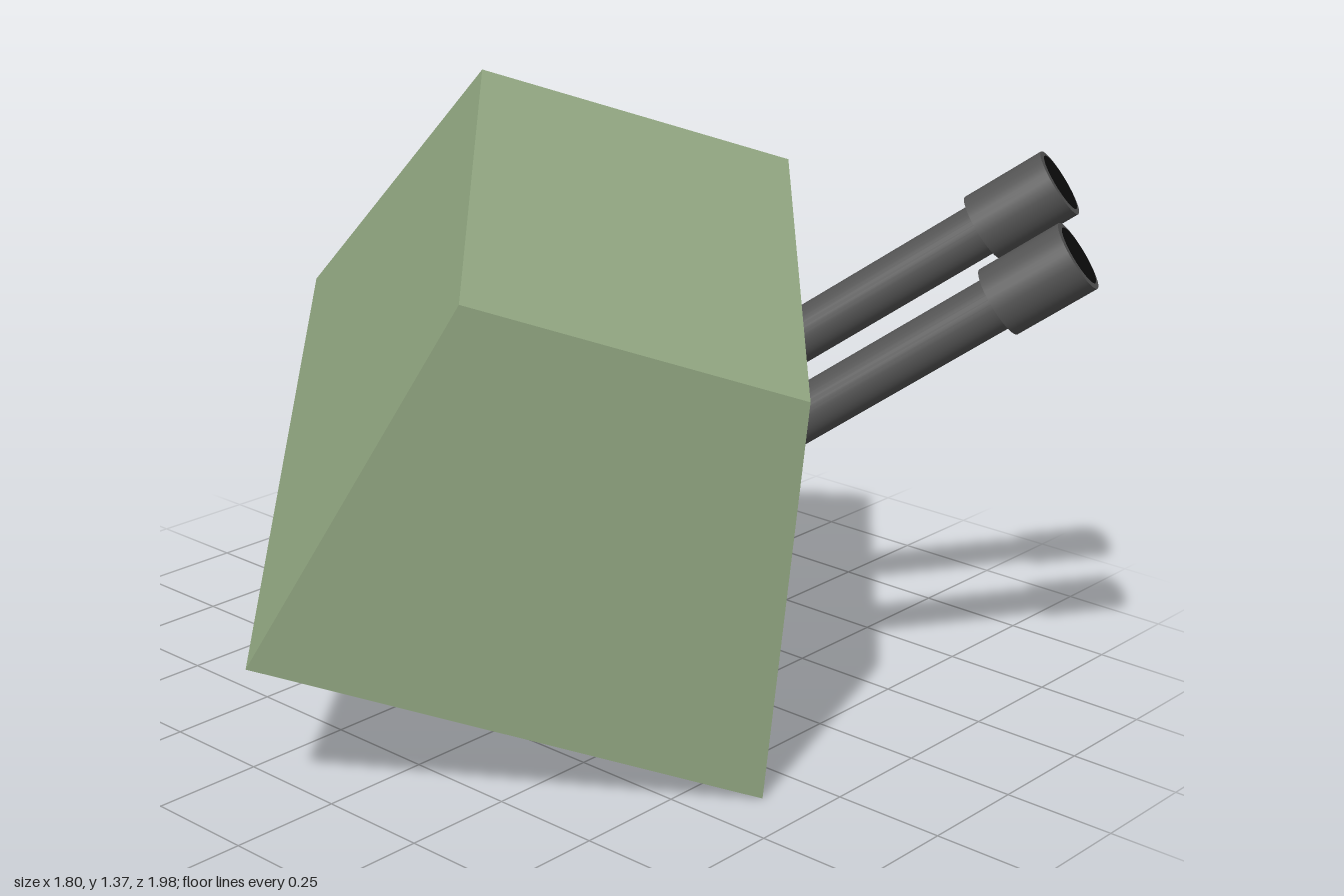
import * as THREE from 'three';

const BASE = { w: 1.44, d: 1.11 };
const HEIGHT = 0.822;
const TAPER = 0.653;
const deg = THREE.MathUtils.degToRad;

const armour = new THREE.MeshStandardMaterial({ color: 0x8fa47f });
const steel = new THREE.MeshStandardMaterial({ color: 0x555555 });
const black = new THREE.MeshStandardMaterial({ color: 0x0c0c0c });

function add(parent, name, geometry, material) {
  const mesh = new THREE.Mesh(geometry, material);
  mesh.name = name;
  parent.add(mesh);
  return mesh;
}

// Box whose top is narrowed evenly towards the centre
function housingGeometry() {
  const g = new THREE.BoxGeometry(BASE.w, HEIGHT, BASE.d);
  g.translate(0, HEIGHT / 2, 0);
  const p = g.attributes.position;
  for (let i = 0; i < p.count; i++) {
    if (p.getY(i) > 0.1) p.setXYZ(i, p.getX(i) * TAPER, HEIGHT, p.getZ(i) * TAPER);
  }
  g.computeVertexNormals();
  return g;
}

// Barrel along +y with its muzzle at the origin
function makeBarrel() {
  const barrel = new THREE.Group();
  barrel.name = 'barrel';
  const length = 0.92, sleeve = 0.19;
  add(barrel, 'barrelTube', new THREE.CylinderGeometry(0.058, 0.058, length - 0.02, 32), steel)
    .position.y = -length / 2 - 0.01;
  add(barrel, 'muzzleSleeve', new THREE.CylinderGeometry(0.078, 0.078, sleeve, 32), steel)
    .position.y = -sleeve / 2;
  const bore = add(barrel, 'bore', new THREE.CircleGeometry(0.066, 32), black);
  bore.rotation.x = -Math.PI / 2;
  bore.position.y = 0.002;
  return barrel;
}

export function createModel() {
  const model = new THREE.Group();
  model.name = 'gunTurret';

  // Whole turret leans forward, with its body turned a half quarter
  const lean = new THREE.Group();
  lean.name = 'leaningMount';
  lean.rotation.x = deg(25);
  lean.position.set(0, 0.38, -0.18);
  model.add(lean);

  const turret = new THREE.Group();
  turret.name = 'turret';
  turret.rotation.y = deg(45);
  lean.add(turret);

  add(turret, 'housing', housingGeometry(), armour);

  // Slots on the sloping front face, each with a raised barrel
  const slope = (BASE.d / 2) * (1 - TAPER) / HEIGHT;
  const slotY = 0.427;
  for (const x of [-0.144, 0.144]) {
    const slot = add(turret, 'barrelSlot', new THREE.BoxGeometry(0.155, 0.493, 0.01), black);
    slot.rotation.x = -Math.atan(slope);
    slot.position.set(x, slotY, BASE.d / 2 - slope * slotY);

    const barrel = makeBarrel();
    barrel.rotation.x = deg(35);
    barrel.position.set(x, 1.127, 0.848);
    turret.add(barrel);
  }
  return model;
}
